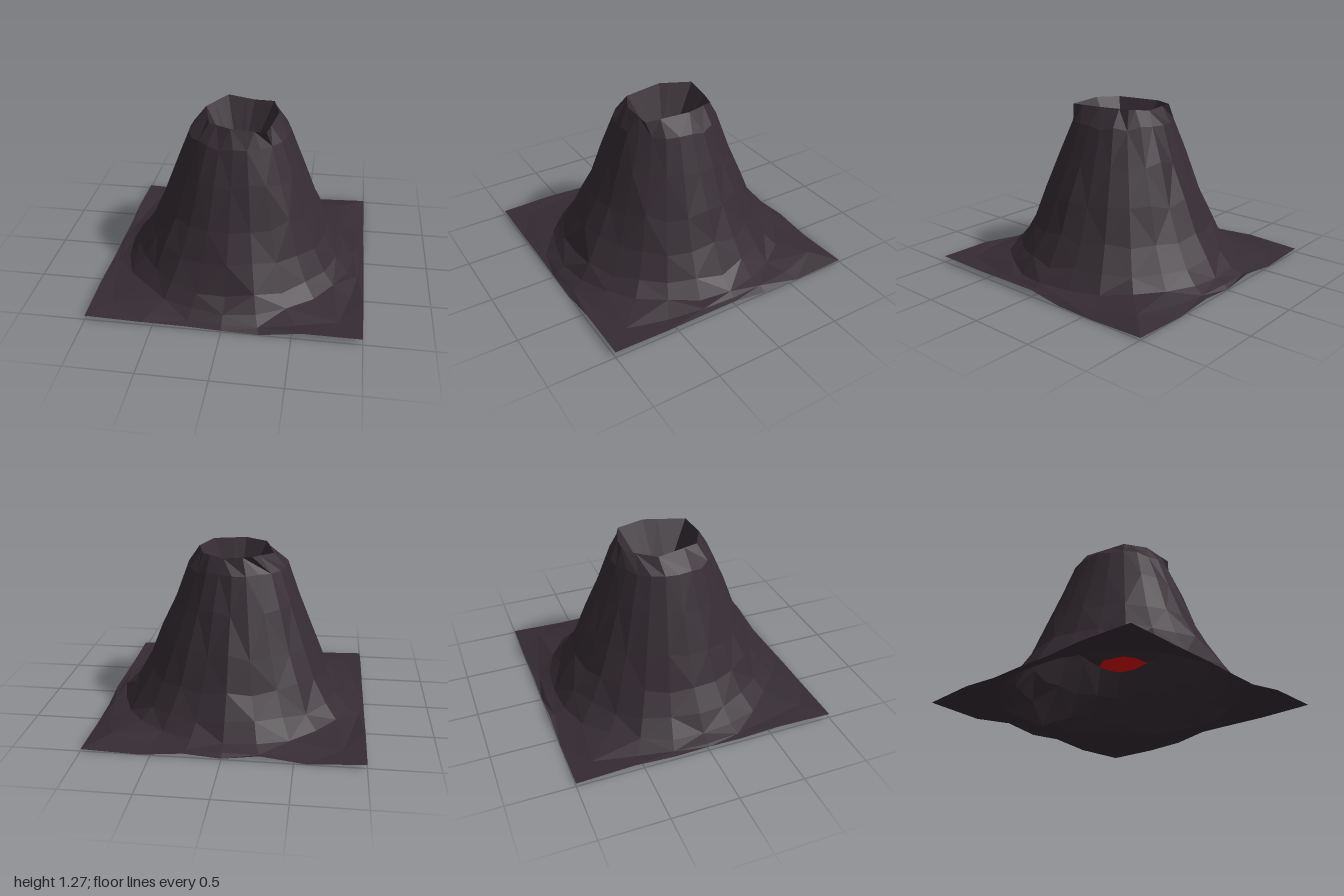
import * as THREE from 'three';

const SEGMENTS = 24;

// Small seeded generator, returns -1..1
function makeNoise(seed) {
  let s = seed;
  return () => {
    s = (s * 16807) % 2147483647;
    return (s / 2147483647) * 2 - 1;
  };
}

// Uneven eight-sided crater outline (x, z), subdivided to the ring count
const RIM = [[0.29, -0.03], [0.23, 0.3], [-0.03, 0.3], [-0.2, 0.21],
  [-0.28, -0.12], [-0.14, -0.33], [0.07, -0.31], [0.23, -0.25]];

function rimRing(scale, y, wobble = 0) {
  const ring = [];
  const step = SEGMENTS / RIM.length;
  for (let i = 0; i < SEGMENTS; i++) {
    const k = Math.floor(i / step), t = (i % step) / step;
    const n = (k + 1) % RIM.length;
    const height = (j) => y + wobble * Math.cos(j * 2.6);
    ring.push(new THREE.Vector3(
      THREE.MathUtils.lerp(RIM[k][0], RIM[n][0], t) * scale,
      THREE.MathUtils.lerp(height(k), height(n), t),
      THREE.MathUtils.lerp(RIM[k][1], RIM[n][1], t) * scale));
  }
  return ring;
}

// Round ring blended towards the square outline by "square"
function slopeRing(radius, y, square, jitterR, jitterY, noise) {
  const ring = [];
  for (let i = 0; i < SEGMENTS; i++) {
    const a = (i / SEGMENTS) * Math.PI * 2;
    const c = Math.cos(a), s = Math.sin(a);
    const edge = 1 / Math.max(Math.abs(c), Math.abs(s));
    const r = THREE.MathUtils.lerp(radius + noise() * jitterR, edge, square);
    ring.push(new THREE.Vector3(c * r, y + noise() * jitterY, s * r));
  }
  return ring;
}

// Skin a list of rings with separate triangles, alternating the diagonals
function loft(rings) {
  const points = [];
  for (let j = 0; j < rings.length - 1; j++) {
    for (let i = 0; i < SEGMENTS; i++) {
      const n = (i + 1) % SEGMENTS;
      const a = rings[j][i], b = rings[j][n], c = rings[j + 1][i], d = rings[j + 1][n];
      if ((i + j) % 2) points.push(a, b, c, b, d, c);
      else points.push(a, b, d, a, d, c);
    }
  }
  return toGeometry(points);
}

function toGeometry(points) {
  const g = new THREE.BufferGeometry().setFromPoints(points);
  g.computeVertexNormals();
  return g;
}

export function createModel() {
  const group = new THREE.Group();
  group.name = 'volcano';
  const noise = makeNoise(4127);

  const rock = new THREE.MeshStandardMaterial({ color: 0x352c33, flatShading: true, side: THREE.DoubleSide });
  rock.name = 'dark rock';
  const lava = new THREE.MeshStandardMaterial({ color: 0xec0505, flatShading: true, side: THREE.DoubleSide });
  lava.name = 'red lava';

  const addPart = (name, geometry, material) => {
    const mesh = new THREE.Mesh(geometry, material);
    mesh.name = name;
    group.add(mesh);
  };

  // Crater: lava floor, wide chamber, narrow throat, funnel up to the rim
  const floor = rimRing(0.52, 0.37);
  const throat = rimRing(0.44, 0.98);
  const rim = rimRing(1, 1.268, 0.012);
  addPart('lavaChamber', loft([floor, rimRing(1, 0.5), throat]), rock);
  addPart('craterFunnel', loft([throat, rim]), rock);

  // Outer slopes: radius, height, radial jitter, height jitter
  const slope = [rim];
  [[0.385, 1.14, 0.006, 0.015], [0.485, 0.89, 0.008, 0.025], [0.6, 0.6, 0.01, 0.03],
    [0.705, 0.37, 0.012, 0.025], [0.81, 0.19, 0.015, 0.02], [0.905, 0.085, 0.018, 0.012],
  ].forEach(([r, y, jr, jy]) => slope.push(slopeRing(r, y, 0, jr, jy, noise)));
  addPart('mountainSlope', loft(slope), rock);

  // Rough ground sheet running out to a square edge
  addPart('groundSheet', loft([
    slope[slope.length - 1],
    slopeRing(0.94, 0.052, 0.5, 0.015, 0.015, noise),
    slopeRing(1, 0.035, 1, 0, 0.025, noise),
  ]), rock);

  // Lava pool closing the crater floor
  const centre = new THREE.Vector3(0, 0.37, 0);
  const pool = [];
  floor.forEach((p, i) => pool.push(centre, floor[(i + 1) % SEGMENTS], p));
  addPart('lavaPool', toGeometry(pool), lava);

  return group;
}
